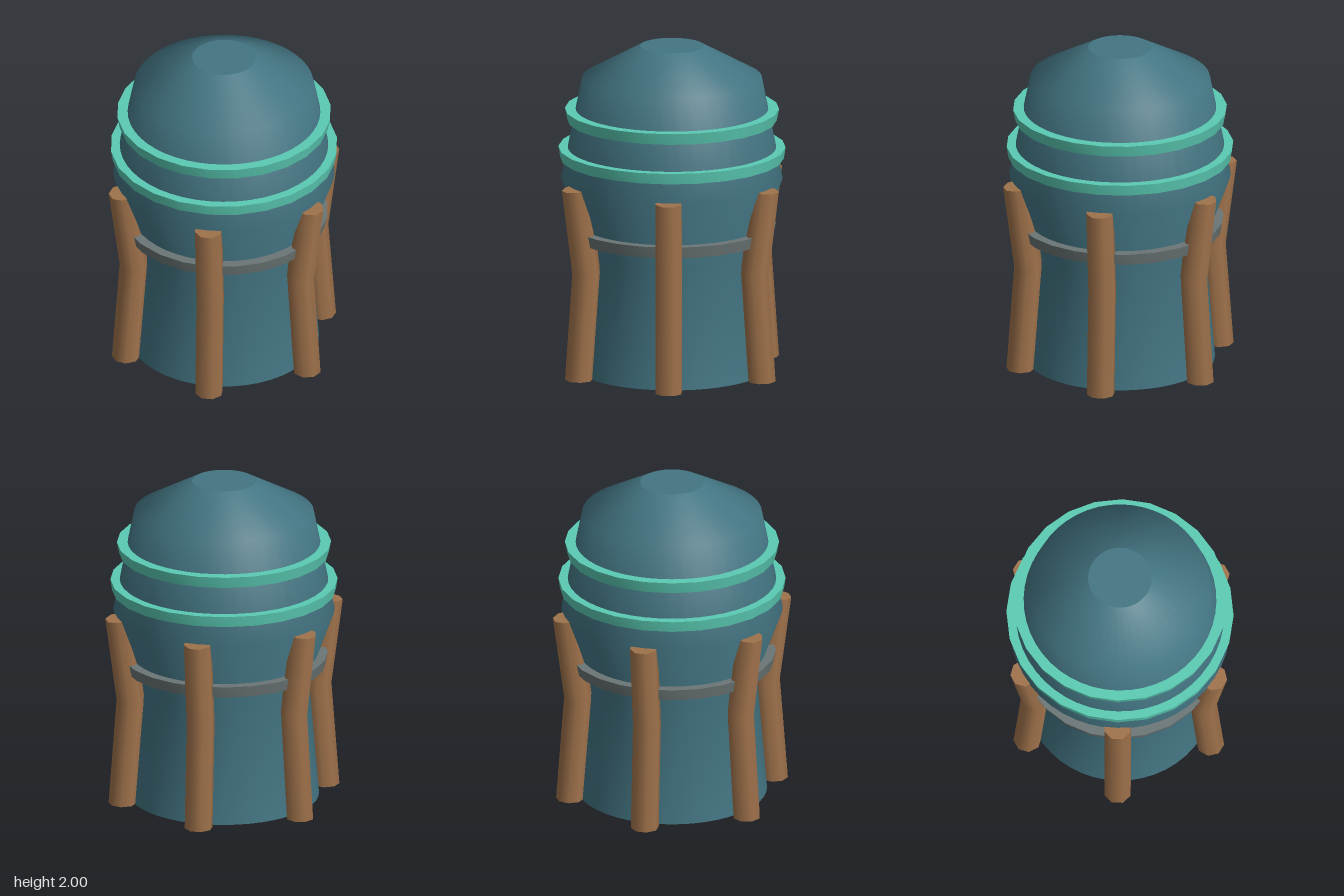
import * as THREE from 'three';
import { toCreasedNormals } from 'three/addons/utils/BufferGeometryUtils.js';

const paint = (name, color, side = THREE.FrontSide) => {
  const m = new THREE.MeshStandardMaterial({ color, side });
  m.name = name;
  return m;
};

export function createModel() {
  const model = new THREE.Group();
  const blue = paint('slateBlue', 0x437583, THREE.DoubleSide);
  const teal = paint('teal', 0x5acbb3);
  const wood = paint('woodBrown', 0x9f724b);
  const grey = paint('ironGrey', 0x6b7676);

  const add = (name, geometry, material, parent = model) => {
    const mesh = new THREE.Mesh(geometry, material);
    mesh.name = name;
    parent.add(mesh);
    return mesh;
  };

  // Hollow body, open at the bottom, with a flat lid on the dome
  const profile = [[0.573, 0], [0.51, 0.75], [0.667, 1.18], [0.542, 1.805], [0.192, 2]];
  add('body', new THREE.LatheGeometry(profile.map(p => new THREE.Vector2(...p)), 48), blue);
  const lid = add('lid', new THREE.CircleGeometry(0.192, 48), blue);
  lid.rotation.x = -Math.PI / 2;
  lid.position.y = 2;

  // Flared hoops: inner radius, lower and upper outer radius, bottom and top height
  const hoop = (name, inner, r0, r1, y0, y1, material) => {
    const section = [[inner, y0], [r0, y0], [r1, y1], [inner, y1], [inner, y0]];
    const g = new THREE.LatheGeometry(section.map(p => new THREE.Vector2(...p)), 24);
    add(name, toCreasedNormals(g, 0.6), material);
  };
  hoop('lowerHoop', 0.62, 0.675, 0.685, 1.305, 1.372, teal);
  hoop('upperHoop', 0.58, 0.632, 0.646, 1.54, 1.61, teal);
  hoop('braceBand', 0.545, 0.612, 0.626, 0.83, 0.9, grey);

  // Bent eight-sided posts: each ring slides outward and tilts with the bend
  const postGeometry = new THREE.CylinderGeometry(0.085, 0.085, 2, 8, 2);
  postGeometry.rotateY(Math.PI / 8);
  const rings = { '-1': [0.636, 0, 0], 0: [0.586, 0.655, -0.03], 1: [0.657, 1.186, -0.12] };
  const pos = postGeometry.attributes.position;
  for (let i = 0; i < pos.count; i++) {
    const [out, y, tilt] = rings[Math.round(pos.getY(i))];
    const x = pos.getX(i);
    pos.setXYZ(i, out + x, y + tilt * x, pos.getZ(i));
  }
  const posts = new THREE.Group();
  posts.name = 'posts';
  model.add(posts);
  for (let i = 0; i < 6; i++) {
    add('post', postGeometry, wood, posts).rotation.y = i * Math.PI / 3;
  }

  return model;
}
